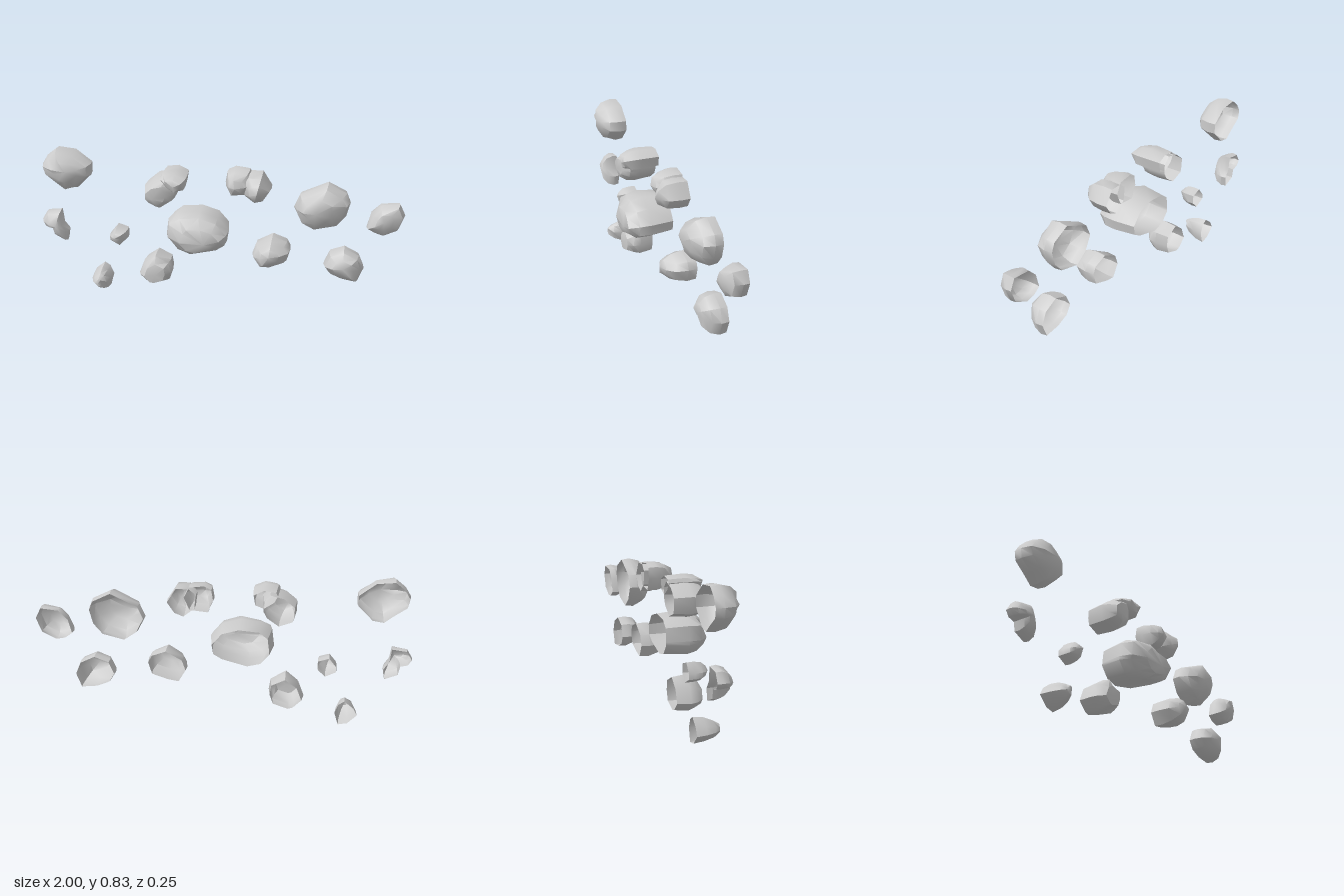
import * as THREE from 'three';
import { toCreasedNormals } from 'three/addons/utils/BufferGeometryUtils.js';

const BACK = -0.12;
// Ring profiles: [depth from back to peak, scale of the outline]
const ROUND = [[0, 0.96], [0.3, 1], [0.65, 0.86], [0.9, 0.5]];
const BLUNT = [[0, 0.9], [0.5, 1], [0.75, 0.9], [0.95, 0.58]];
const TAPER = [[0, 1], [0.4, 0.9], [0.75, 0.65], [0.95, 0.3]];

const noise = (n) => {
  const s = Math.sin(n * 127.1 + 11.7) * 43758.5453;
  return (s - Math.floor(s)) * 2 - 1;
};

// Hollow rock, open at the back. Outline runs clockwise, in hundredths.
function rockGeometry(outline, peak, profile) {
  const n = outline.length / 2;
  const pts = [];
  for (let i = 0; i < n; i++) pts.push(new THREE.Vector2(outline[2 * i], outline[2 * i + 1]).divideScalar(100));
  const box = new THREE.Box2().setFromPoints(pts);
  const mid = box.getCenter(new THREE.Vector2());
  const tip = new THREE.Vector2(peak[0], peak[1]).divideScalar(100);
  const depth = peak[2] / 100 - BACK;
  const pos = [], index = [];
  profile.forEach(([t, s], r) => {
    const shift = tip.clone().sub(mid).multiplyScalar(t * t);
    pts.forEach((p, i) => {
      const rough = r > 1 ? 0.05 * noise(i + r * 17 + outline[0]) : 0;
      const q = p.clone().sub(mid).multiplyScalar(s + rough).add(mid);
      if (r > 1) q.add(shift.clone().multiplyScalar(1 - s + 0.1));
      const z = BACK + depth * (t + rough * 0.8);
      pos.push(q.x, q.y, z);
    });
  });
  pos.push(tip.x, tip.y, BACK + depth);
  const last = profile.length - 1;
  for (let i = 0; i < n; i++) {
    const j = (i + 1) % n;
    for (let r = 0; r < last; r++) {
      const a = r * n + i, b = r * n + j, c = a + n, d = b + n;
      index.push(a, c, b, b, c, d);
    }
    index.push(last * n + i, (last + 1) * n, last * n + j);
  }
  const g = new THREE.BufferGeometry();
  g.setAttribute('position', new THREE.Float32BufferAttribute(pos, 3));
  g.setIndex(index);
  return toCreasedNormals(g, 0.75);
}

export function createModel() {
  const group = new THREE.Group();
  const material = new THREE.MeshStandardMaterial({ color: 0xcccccc, side: THREE.DoubleSide });
  const rock = (name, peak, outline, profile = ROUND) => {
    const mesh = new THREE.Mesh(rockGeometry(outline, peak, profile), material);
    mesh.name = name;
    group.add(mesh);
  };

  // Right-hand cluster
  rock('upperRightRock', [-82, 73, 3],
    [-97, 74, -94, 79, -89, 83, -79, 82, -70, 75, -70, 69, -78, 61, -84, 60, -89, 64, -96, 69]);
  rock('bentRightRock', [-91, 38, -2],
    [-100, 40, -97, 45, -89, 46, -88, 38, -85, 34, -86, 28, -93, 31, -94, 36, -98, 37]);
  rock('smallRightRock', [-57, 34, -1],
    [-61, 34, -57, 39, -51, 37, -51, 32, -55, 28, -61, 31]);
  rock('smallBottomRock', [-67, 7, 2],
    [-73, 6, -71, 10, -66, 14, -63, 12, -61, 7, -63, 0, -68, 1], TAPER);
  rock('lowerRightRock', [-34, 15, 3],
    [-44, 13, -41, 21, -34, 26, -26, 22, -25, 16, -27, 10, -36, 7, -39, 8], BLUNT);

  // Middle cluster, some made of two merged stones
  rock('upperMiddleRockLarge', [-34, 62, 7],
    [-39, 62, -39, 67, -33, 72, -25, 74, -21, 70, -21, 64, -23, 60, -30, 55, -38, 58], BLUNT);
  rock('upperMiddleRockSmall', [-22, 70, 8],
    [-30, 73, -29, 75, -22, 76, -16, 73, -17, 67, -22, 65, -28, 69], BLUNT);
  rock('centreRock', [-5, 40, 13],
    [-27, 41, -26, 49, -21, 53, -9, 54, 1, 51, 7, 44, 6, 38, 1, 35, -14, 31, -22, 33, -27, 39], BLUNT);
  rock('twinRockRight', [10, 69, 3],
    [4, 69, 5, 75, 9, 77, 17, 76, 20, 70, 17, 63, 7, 62]);
  rock('twinRockLeft', [22, 67, 5],
    [13, 72, 17, 75, 24, 75, 29, 67, 25, 61, 20, 59, 14, 64]);
  rock('lowerMiddleRock', [29, 31, 5],
    [19, 28, 21, 34, 30, 39, 38, 36, 40, 32, 38, 25, 29, 22, 23, 21]);

  // Left-hand cluster
  rock('largeLeftRock', [53, 57, 3],
    [41, 57, 44, 64, 59, 71, 69, 66, 71, 61, 69, 53, 64, 47, 52, 44, 45, 49]);
  rock('lowerLeftRock', [69, 25, 1],
    [58, 24, 61, 31, 69, 34, 77, 30, 80, 23, 77, 15, 68, 16, 61, 19]);
  rock('farLeftRock', [89, 53, -1],
    [80, 47, 82, 55, 87, 60, 97, 61, 100, 55, 97, 47, 89, 43, 84, 44]);
  return group;
}
